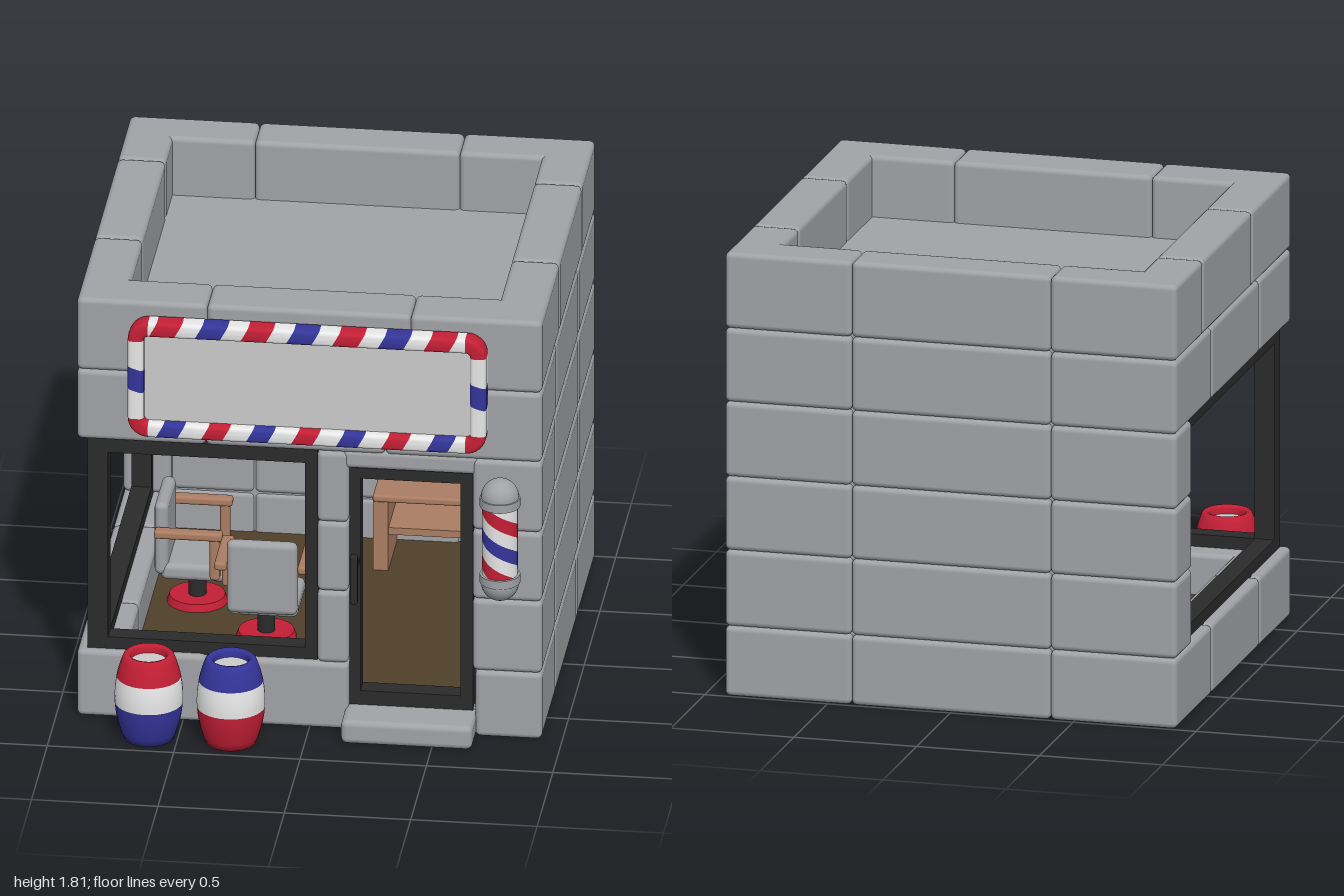
import * as THREE from 'three';
import { RoundedBoxGeometry } from 'three/addons/geometries/RoundedBoxGeometry.js';

const mat = (name, color) => {
  const m = new THREE.MeshStandardMaterial({ color });
  m.name = name;
  return m;
};

export function createModel() {
  const root = new THREE.Group();
  root.name = 'barberShop';
  const stone = mat('stone grey', 0xa0a2a6), pale = mat('pale grey', 0xcbcbcb), white = mat('white', 0xe8e8e8);
  const red = mat('red', 0xc41f35), blue = mat('blue', 0x34359a), black = mat('black', 0x2b2b2b);
  const wood = mat('wood', 0xab7d63), brown = mat('floor brown', 0x50402b);

  const group = (name, parent = root) => {
    const g = new THREE.Group();
    g.name = name;
    parent.add(g);
    return g;
  };
  const add = (name, geo, material, parent = root, x = 0, y = 0, z = 0) => {
    const m = new THREE.Mesh(geo, material);
    m.name = name;
    m.position.set(x, y, z);
    parent.add(m);
    return m;
  };
  // box given by its limits, optionally with rounded edges
  const box = (name, material, parent, x0, x1, y0, y1, z0, z1, r = 0) => {
    const s = [x1 - x0, y1 - y0, z1 - z0];
    const geo = r ? new RoundedBoxGeometry(...s, 2, r) : new THREE.BoxGeometry(...s);
    return add(name, geo, material, parent, (x0 + x1) / 2, (y0 + y1) / 2, (z0 + z1) / 2);
  };

  // Stone courses
  const walls = group('walls');
  const stoneBlock = (...b) => box('stoneBlock', stone, walls, ...b, 0.022);
  const levels = [0, 0.285, 0.595, 0.895, 1.2, 1.5, 1.81];
  const rightJoints = [[-0.4, 0.26], [-0.465, 0.26], [-0.465, 0.26], [-0.465, 0.26], [-0.465, 0.225], [-0.58, 0.14]];
  const runs = (a, joints, b) => [a, ...joints].map((s, i) => [s, [...joints, b][i]]);
  for (let i = 0; i < 6; i++) {
    const y0 = levels[i], y1 = levels[i + 1], open = i > 0 && i < 4;
    for (const [a, b] of runs(-0.92, [-0.405, 0.405], 0.92)) stoneBlock(a, b, y0, y1, -1, -0.81);
    for (const [a, b] of runs(-1, rightJoints[i], 0.71)) stoneBlock(0.73, 0.92, y0, y1, a, b);
    const left = open ? [[-1, -0.76]] : runs(-1, i === 5 ? [-0.6, 0.13] : [-0.465, 0.24], 0.71);
    for (const [a, b] of left) stoneBlock(-0.92, -0.73, y0, y1, a, b);
    const front = open ? [[0.03, 0.155], [0.645, 0.92]]
      : i === 0 ? [[-0.92, -0.41], [-0.41, 0.155], [0.655, 0.92]]
        : runs(-0.92, i === 4 ? [-0.41, 0.3] : [-0.405, 0.4], 0.92);
    for (const [a, b] of front) stoneBlock(a, b, y0, y1, 0.5, 0.71);
  }
  stoneBlock(0.13, 0.67, 1.13, 1.21, 0.5, 0.705);
  // solid backing behind the joints
  box('backCore', stone, walls, -0.88, 0.88, 0.03, 1.55, -0.96, -0.82);
  box('rightCore', stone, walls, 0.62, 0.88, 0.03, 1.5, -0.9, 0.6);
  box('roof', stone, walls, -0.76, 0.76, 1.48, 1.56, -0.84, 0.53);
  box('baseSlab', stone, walls, -0.75, 0.75, 0.003, 0.11, -0.85, 0.66);
  box('floor', brown, walls, -0.75, 0.75, 0.11, 0.118, -0.82, 0.64);
  box('doorStep', stone, walls, 0.14, 0.66, 0, 0.1, 0.6, 0.845, 0.025);

  // Corner window frame
  const win = group('windowFrame');
  const bar = (...b) => box('frameBar', black, win, ...b);
  for (const [a, b] of [[0.28, 0.335], [1.135, 1.195]]) {
    bar(-0.88, 0.03, a, b, 0.6, 0.68);
    bar(-0.88, -0.8, a, b, -0.77, 0.6);
  }
  bar(-0.88, -0.8, 0.335, 1.135, 0.6, 0.68);
  bar(-0.02, 0.035, 0.335, 1.135, 0.6, 0.68);
  bar(-0.88, -0.8, 0.335, 1.135, -0.77, -0.71);

  // Door frame and handle
  const door = group('door');
  box('doorSide', black, door, 0.155, 0.2, 0.1, 1.13, 0.6, 0.68);
  box('doorSide', black, door, 0.595, 0.645, 0.1, 1.13, 0.6, 0.68);
  box('doorBottom', black, door, 0.2, 0.595, 0.1, 0.16, 0.6, 0.68);
  box('doorTop', black, door, 0.2, 0.595, 1.08, 1.13, 0.6, 0.68);
  box('handle', black, door, 0.17, 0.2, 0.58, 0.79, 0.755, 0.79, 0.01);
  box('handleBracket', black, door, 0.175, 0.195, 0.715, 0.735, 0.66, 0.76);

  // Sign: panel with a rounded striped border
  const sign = group('sign');
  sign.position.set(0, 1.51, 0.755);
  box('signPanel', pale, sign, -0.67, 0.67, -0.21, 0.21, -0.045, 0.005);
  const HW = 0.0325, HD = 0.045, R = 0.05, X = 0.71 - HW, Y = 0.25 - HW;
  const sq = v => Math.sign(v) * Math.sqrt(Math.abs(v));
  const stripe = (parent, a, b, ka, kb, material) => {
    const geo = new THREE.CylinderGeometry(1, 1, 1, 24, 1, true), p = geo.attributes.position;
    for (let i = 0; i < p.count; i++) {
      const u = -HW * sq(p.getX(i)), z = HD * sq(p.getZ(i));
      p.setXYZ(i, p.getY(i) < 0 ? a + ka * u : b + kb * u, u, z);
    }
    geo.computeVertexNormals();
    add('borderStripe', geo, material, parent);
  };
  const edge = (len, centres, half, slant, colours, place) => {
    const g = group('borderEdge', sign);
    place(g);
    let at = -len, k = 0;
    centres.forEach((c, i) => {
      stripe(g, at, c - half, k, slant, white);
      stripe(g, c - half, c + half, slant, slant, colours[i % 2]);
      at = c + half;
      k = slant;
    });
    stripe(g, at, len, k, 0, white);
  };
  const seven = (start, step) => Array.from({ length: 7 }, (_, i) => start + i * step);
  edge(X - R, seven(-0.56, 0.181), 0.05, 0.55, [red, blue], g => g.position.set(0, Y, 0));
  edge(X - R, seven(-0.54, 0.178), 0.042, 0.55, [blue, red], g => g.position.set(0, -Y, 0));
  for (const s of [-1, 1]) edge(Y - R, [0], 0.048, 0.3, [blue, blue], g => {
    g.position.x = s * X;
    g.rotation.z = Math.PI / 2;
  });
  const section = Array.from({ length: 25 }, (_, i) => {
    const t = i / 24 * Math.PI * 2;
    return new THREE.Vector2(R + HW * sq(Math.cos(t)), HD * sq(Math.sin(t)));
  });
  [[1, -1], [1, 1], [-1, 1], [-1, -1]].forEach(([sx, sy], i) => {
    const geo = new THREE.LatheGeometry(section, 8, 0, Math.PI / 2).rotateX(Math.PI / 2).rotateZ(i * Math.PI / 2);
    add('borderCorner', geo, red, sign, sx * (X - R), sy * (Y - R), 0);
  });

  // Striped pole with domed caps
  const pole = group('stripedPole');
  pole.position.set(0.77, 0.92, 0.83);
  const lo = -0.17, hi = 0.17, pitch = 0.24, band = pitch / 4;
  for (let k = 0, base = lo; base < hi + pitch; base += band, k++) {
    const geo = new THREE.CylinderGeometry(0.07, 0.07, 1, 32, 1, true), p = geo.attributes.position;
    for (let i = 0; i < p.count; i++) {
      const y = base + band * (p.getY(i) + 0.5) - pitch * geo.attributes.uv.getX(i);
      p.setY(i, THREE.MathUtils.clamp(y, lo, hi));
    }
    add('poleStripe', geo, [red, white, blue, white][k % 4], pole);
  }
  for (const s of [-1, 1]) {
    add('poleCollar', new THREE.CylinderGeometry(0.08, 0.08, 0.035, 32), stone, pole, 0, s * 0.165, 0);
    add('poleCap', new THREE.SphereGeometry(0.075, 24, 16), stone, pole, 0, s * 0.185, 0);
    box('poleBracket', stone, pole, -0.025, 0.025, s * 0.17 - 0.015, s * 0.17 + 0.015, -0.14, 0);
  }

  // Barrel pots with three colour bands
  const radius = y => 0.135 - 0.037 * ((y - 0.18) / 0.18) ** 2;
  const pot = (x, bottom, top) => {
    const g = group('pot');
    g.position.set(x, 0, 0.865);
    [[0, 0.155, bottom], [0.155, 0.265, white], [0.265, 0.355, top]].forEach(([a, b, m], i) => {
      const pts = Array.from({ length: 6 }, (_, j) => a + (b - a) * j / 5).map(y => [radius(y), y]);
      if (i === 0) pts.unshift([0, 0]);
      if (i === 2) pts.push([0.09, 0.364], [0.077, 0.36], [0.07, 0.35], [0.07, 0.31]);
      add('potBand', new THREE.LatheGeometry(pts.map(p => new THREE.Vector2(...p)), 32), m, g);
    });
    add('potFill', new THREE.CylinderGeometry(0.072, 0.072, 0.02, 24), pale, g, 0, 0.32, 0);
  };
  pot(-0.615, blue, red);
  pot(-0.29, red, blue);

  // Barber chairs
  const chair = (x, z, turn) => {
    const g = group('chair');
    g.position.set(x, 0, z);
    g.rotation.y = turn;
    box('chairBack', stone, g, -0.14, 0.14, 0.28, 0.59, -0.155, -0.1, 0.025);
    box('seat', stone, g, -0.14, 0.14, 0.26, 0.33, -0.13, 0.13, 0.025);
    for (const s of [-1, 1]) {
      const c = s * 0.165;
      box('armRest', wood, g, c - 0.025, c + 0.025, 0.46, 0.495, -0.15, 0.12, 0.012);
      box('armPost', wood, g, c - 0.02, c + 0.02, 0.29, 0.48, 0.07, 0.11, 0.012);
    }
    add('stem', new THREE.CylinderGeometry(0.035, 0.035, 0.16, 16), black, g, 0, 0.19, 0);
    add('chairFoot', new THREE.CylinderGeometry(0.11, 0.12, 0.03, 24), red, g, 0, 0.133, 0);
  };
  chair(-0.55, -0.16, Math.PI / 2);
  chair(-0.24, 0.14, Math.PI);

  // Round wall mirrors
  const mirror = (x, z, turn) => {
    const g = group('mirror');
    g.position.set(x, 0.705, z);
    g.rotation.y = turn;
    add('mirrorRing', new THREE.TorusGeometry(0.167, 0.025, 10, 40), wood, g);
    add('mirrorGlass', new THREE.CylinderGeometry(0.16, 0.16, 0.02, 32).rotateX(Math.PI / 2), stone, g);
  };
  mirror(-0.47, -0.79, 0);
  mirror(0.25, -0.79, 0);
  mirror(0.575, -0.3, -Math.PI / 2);

  // Counter under the mirrors
  const counter = group('counter');
  box('counterTop', wood, counter, 0.1, 0.62, 0.42, 0.45, -0.8, -0.5, 0.01);
  box('counterShelf', wood, counter, 0.12, 0.5, 0.27, 0.3, -0.8, -0.53);
  box('counterLeg', wood, counter, 0.45, 0.54, 0.118, 0.42, -0.8, -0.52);
  box('counterLeg', wood, counter, 0.1, 0.16, 0.118, 0.42, -0.8, -0.52);
  return root;
}
